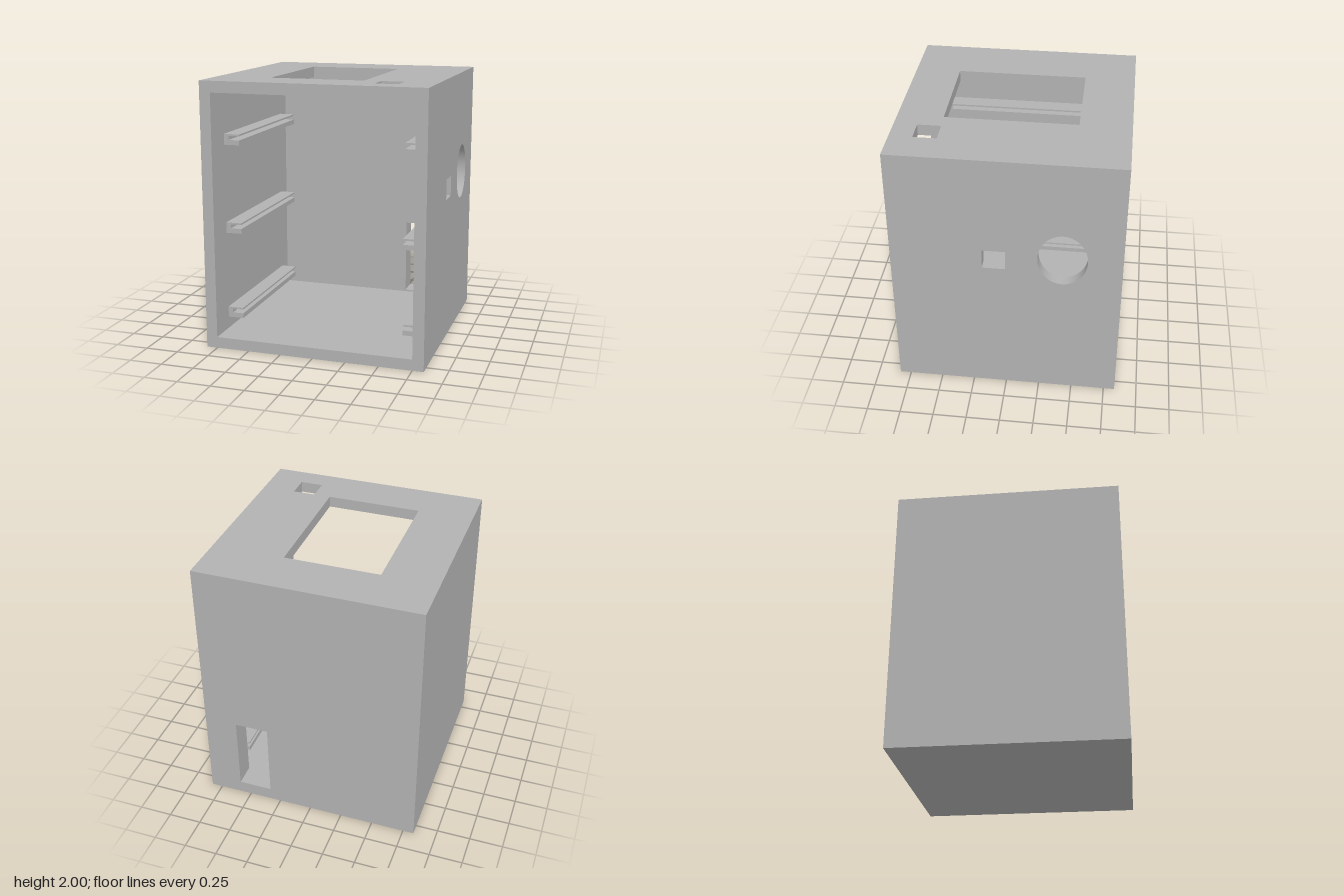
import * as THREE from 'three';

const W = 0.833;          // half width and half depth
const H = 2;              // height
const T = 0.084;          // wall thickness
const BACK = 0.168;       // back wall thickness
const IN = W - T;         // inner half width

// Closed shape from a list of corner points
const outline = (pts, Type = THREE.Shape) => new Type(pts.map(([x, y]) => new THREE.Vector2(x, y)));
const rect = (x0, y0, x1, y1, Type) => outline([[x0, y0], [x1, y0], [x1, y1], [x0, y1]], Type);
const rectHole = (x0, y0, x1, y1) => rect(x0, y0, x1, y1, THREE.Path);

// Flat panel of the given depth with cut-outs
function panel(shape, depth, holes = []) {
  shape.holes.push(...holes);
  return new THREE.ExtrudeGeometry(shape, { depth, bevelEnabled: false, curveSegments: 64 });
}

export function createModel() {
  const model = new THREE.Group();
  model.name = 'openCabinet';
  const grey = new THREE.MeshStandardMaterial({ color: 0xb2b2b2 });
  grey.name = 'grey';

  const add = (name, geometry, x = 0, y = 0, z = 0) => {
    const mesh = new THREE.Mesh(geometry, grey);
    mesh.name = name;
    mesh.position.set(x, y, z);
    model.add(mesh);
  };

  // Floor and roof: shape drawn in x and z, depth running downwards
  const roofHoles = [rectHole(-0.418, -0.461, 0.291, 0.5), rectHole(0.416, 0.496, 0.585, 0.666)];
  add('roof', panel(rect(-W, -W, W, W), T, roofHoles).rotateX(Math.PI / 2), 0, H, 0);
  add('floor', panel(rect(-W, -W, W, W), T).rotateX(Math.PI / 2), 0, T, 0);

  // Side walls: shape drawn in z and y, depth running towards -x
  const port = new THREE.Path().absellipse(-0.406, 1.212, 0.178, 0.212, 0, Math.PI * 2, false, 0);
  const sideHoles = [port, rectHole(0, 1.1, 0.168, 1.253)];
  const sideShape = () => rect(-W, T, W, H - T);
  add('leftWall', panel(sideShape(), T, sideHoles).rotateY(-Math.PI / 2), W, 0, 0);
  add('rightWall', panel(sideShape(), T).rotateY(-Math.PI / 2), -IN, 0, 0);

  // Back wall with its tall opening
  add('backWall', panel(rect(-IN, T, IN, H - T), BACK, [rectHole(0.331, 0.098, 0.584, 0.69)]), 0, 0, -W);

  // Slotted shelf rails: [side, underside height, inner edge, slot end, back z]
  const rails = [
    [-1, 1.508, 0.628, 0.712, -0.54], [-1, 0.837, 0.628, 0.712, -0.54], [-1, 0.173, 0.628, 0.712, -0.54],
    [1, 1.508, 0.624, 0.709, -0.54], [1, 0.834, 0.631, 0.712, -0.48], [1, 0.173, 0.624, 0.709, -0.54],
  ];
  for (const [s, y, inner, slot, z] of rails) {
    const profile = [[IN, 0], [inner, 0], [inner, 0.037], [slot, 0.037],
      [slot, 0.068], [inner, 0.068], [inner, 0.081], [IN, 0.081]];
    add(s > 0 ? 'leftRail' : 'rightRail', panel(outline(profile.map(([px, py]) => [s * px, py])), 1.155), 0, y, z);
  }
  return model;
}
